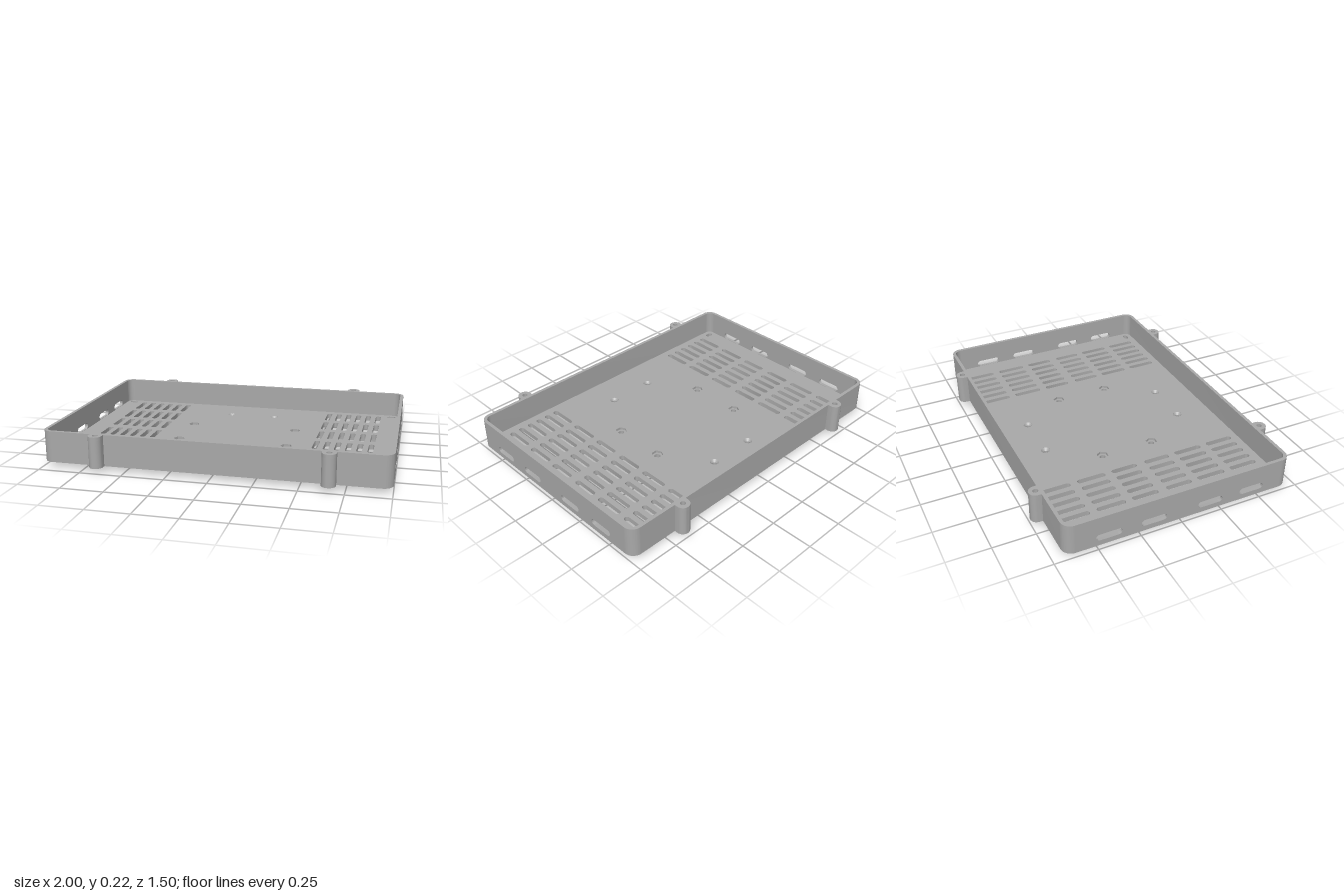
import * as THREE from 'three';
import { toCreasedNormals } from 'three/addons/utils/BufferGeometryUtils.js';

const W = 1, D = 0.69, T = 0.02, R = 0.06;          // half width, half depth, wall, corner radius
const BASE = 0.03, FLOOR = 0.06, TOP = 0.215;       // heights
const SIGNS = [-1, 1];

// Rounded rectangle centred on (cx, cy); also gives slots when r is half the short side
function roundRect(path, cx, cy, hx, hy, r) {
  path.moveTo(cx - hx + r, cy - hy);
  path.lineTo(cx + hx - r, cy - hy);
  path.absarc(cx + hx - r, cy - hy + r, r, -Math.PI / 2, 0);
  path.lineTo(cx + hx, cy + hy - r);
  path.absarc(cx + hx - r, cy + hy - r, r, 0, Math.PI / 2);
  path.lineTo(cx - hx + r, cy + hy);
  path.absarc(cx - hx + r, cy + hy - r, r, Math.PI / 2, Math.PI);
  path.lineTo(cx - hx, cy - hy + r);
  path.absarc(cx - hx + r, cy - hy + r, r, Math.PI, Math.PI * 1.5);
  return path;
}

const circle = (x, y, r) => new THREE.Path().absarc(x, y, r, 0, Math.PI * 2);

function hexagon(x, y, r) {
  const pts = [];
  for (let i = 0; i < 6; i++) {
    const a = i * Math.PI / 3;
    pts.push(new THREE.Vector2(x + r * Math.cos(a), y + r * Math.sin(a)));
  }
  return new THREE.Path(pts);
}

function extrude(shape, depth) {
  return new THREE.ExtrudeGeometry(shape, { depth, bevelEnabled: false, curveSegments: 8 });
}

// Plan shape raised from y0 to y1
function slab(shape, y0, y1) {
  const g = extrude(shape, y1 - y0);
  g.rotateX(-Math.PI / 2).translate(0, y0, 0);
  return toCreasedNormals(g, 0.6);
}

// Calls fn at the four mirrored positions
function four(x, z, fn) {
  for (const sx of SIGNS) for (const sz of SIGNS) fn(sx * x, sz * z);
}

export function createModel() {
  const model = new THREE.Group();
  const grey = new THREE.MeshStandardMaterial({ color: 0xa8a8a8, side: THREE.DoubleSide });
  grey.name = 'grey plastic';
  const add = (name, geo, parent = model) => {
    const m = new THREE.Mesh(geo, grey);
    m.name = name;
    parent.add(m);
    return m;
  };

  // Floor in two layers, so that the screw seats and nut pockets are recessed
  const floorShape = (upper) => {
    const s = roundRect(new THREE.Shape(), 0, 0, W - T, D - T, R - T);
    for (const side of SIGNS) {
      for (let col = 0; col < 6; col++) {
        const x = side * (0.511 + col * 0.0662);
        for (const [z, half] of [[0.107, 0.08], [0.318, 0.087], [0.536, 0.087]]) {
          for (const sz of SIGNS) s.holes.push(roundRect(new THREE.Path(), x, sz * z, 0.0165, half, 0.016));
        }
      }
    }
    four(0.93, 0.625, (x, z) => s.holes.push(roundRect(new THREE.Path(), x, z, 0.026, 0.016, 0.0155)));
    four(0.148, 0.455, (x, z) => s.holes.push(circle(x, z, upper ? 0.027 : 0.014)));
    four(0.338, 0.165, (x, z) => s.holes.push(upper ? hexagon(x, z, 0.035) : circle(x, z, 0.018)));
    return s;
  };
  add('floorLower', slab(floorShape(false), BASE, 0.045));
  add('floorUpper', slab(floorShape(true), 0.045, FLOOR));

  // Conical screw seats
  four(0.148, 0.455, (x, z) => {
    const cone = new THREE.CylinderGeometry(0.027, 0.014, 0.015, 32, 1, true);
    add('screwSeat', cone.translate(x, 0.0525, z));
  });

  // Front and back walls with their rounded corners
  const wall = new THREE.Shape();
  const zc = D - R;
  wall.moveTo(-W, -zc);
  wall.absarc(-W + R, -zc, R, Math.PI, Math.PI * 1.5);
  wall.absarc(W - R, -zc, R, Math.PI * 1.5, Math.PI * 2);
  wall.lineTo(W - T, -zc);
  wall.absarc(W - R, -zc, R - T, 0, -Math.PI / 2, true);
  wall.absarc(-W + R, -zc, R - T, -Math.PI / 2, -Math.PI, true);
  wall.closePath();
  const wallGeo = slab(wall, BASE, TOP);
  add('frontWall', wallGeo);
  add('backWall', wallGeo).rotation.y = Math.PI;

  // Side walls with four slots each
  const side = new THREE.Shape();
  side.moveTo(-zc, BASE);
  side.lineTo(zc, BASE);
  side.lineTo(zc, TOP);
  side.lineTo(-zc, TOP);
  side.closePath();
  for (const z of [-0.438, -0.173, 0.173, 0.438]) {
    side.holes.push(roundRect(new THREE.Path(), z, 0.081, 0.076, 0.02, 0.0195));
  }
  const sideGeo = toCreasedNormals(extrude(side, T).rotateY(Math.PI / 2), 0.6);
  add('leftWall', sideGeo).position.x = W - T;
  add('rightWall', sideGeo).position.x = -W;

  // Screw bosses outside the front and back walls: wide bore below, small hole on top
  const bossShape = (hole) => {
    const s = new THREE.Shape();
    s.moveTo(-0.04, 0.021);
    s.lineTo(-0.04, 0);
    s.absarc(0, 0, 0.04, Math.PI, Math.PI * 2);
    s.lineTo(0.04, 0.021);
    s.closePath();
    s.holes.push(circle(0, 0, hole));
    return s;
  };
  const bossBody = slab(bossShape(0.02), BASE, TOP - 0.02);
  const bossCap = slab(bossShape(0.016), TOP - 0.02, TOP);
  four(0.66, 0.71, (x, z) => {
    const boss = new THREE.Group();
    boss.name = 'screwBoss';
    add('bossBody', bossBody, boss);
    add('bossCap', bossCap, boss);
    boss.position.set(x, 0, z);
    boss.rotation.y = z > 0 ? 0 : Math.PI;
    model.add(boss);
  });

  // Raised pad under the floor, with the nut holes running through
  const pad = roundRect(new THREE.Shape(), 0, 0, 0.4, 0.26, 0.06);
  four(0.338, 0.165, (x, z) => pad.holes.push(circle(x, z, 0.018)));
  add('bottomPad', slab(pad, 0, BASE));

  // Ribs under the floor, running out from the pad between the vent rows
  four(0.685, 0.21, (x, z) => {
    add('bottomRib', new THREE.BoxGeometry(0.59, 0.016, 0.044).translate(x, BASE - 0.008, z));
  });

  return model;
}
